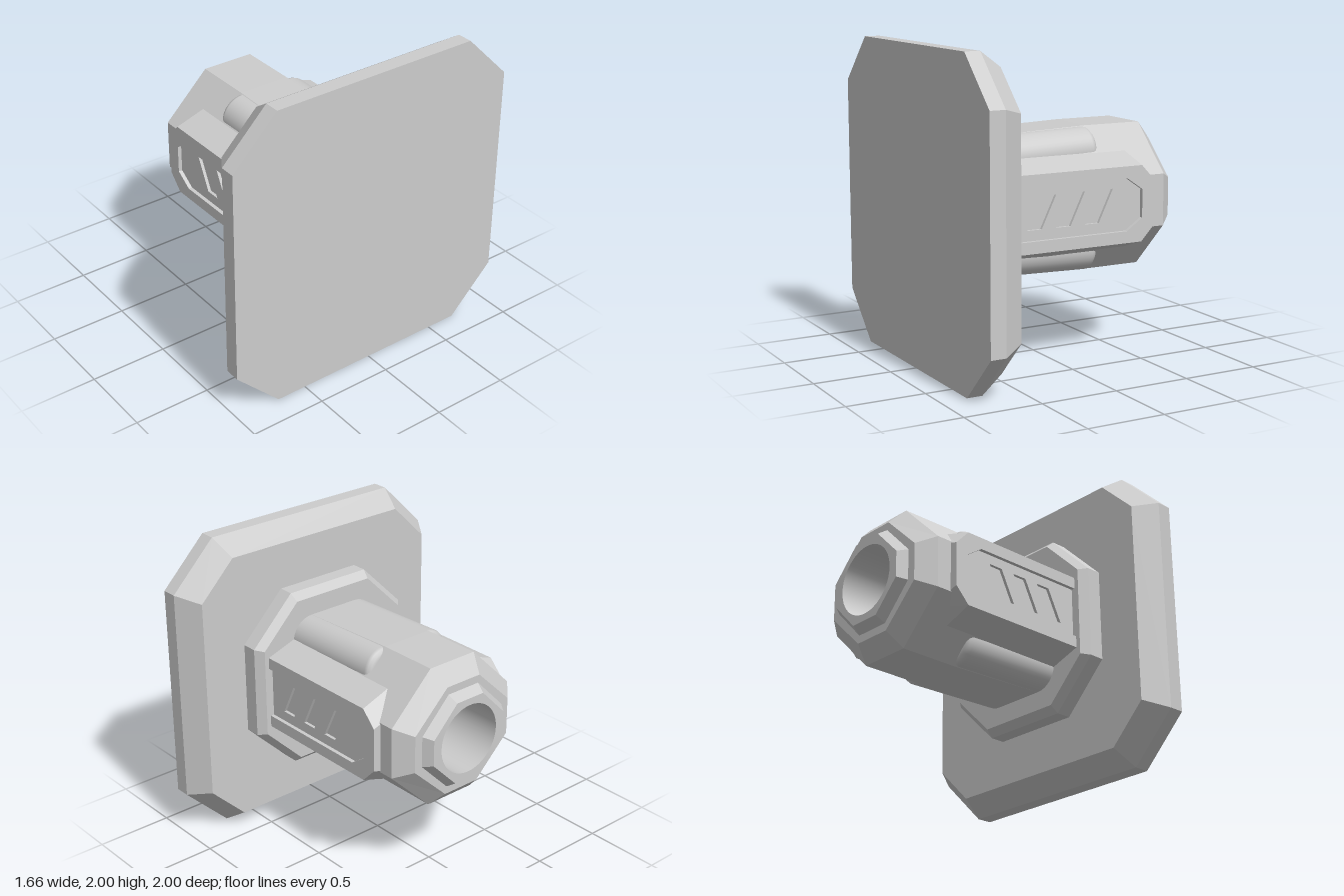
import * as THREE from 'three';

const grey = new THREE.MeshStandardMaterial({ color: 0xcccccc });
grey.name = 'plain grey';

function add(parent, name, geometry) {
  const mesh = new THREE.Mesh(geometry, grey);
  mesh.name = name;
  parent.add(mesh);
  return mesh;
}

// Flat-faced skin through a list of equal-length loops, optionally capped
function loft(loops, capStart = false, capEnd = false) {
  const pos = [];
  const tri = (a, b, c) => pos.push(...a, ...b, ...c);
  const n = loops[0].length;
  for (let k = 0; k < loops.length - 1; k++) {
    const a = loops[k], b = loops[k + 1];
    for (let i = 0; i < n; i++) {
      const j = (i + 1) % n;
      tri(a[i], a[j], b[j]);
      tri(a[i], b[j], b[i]);
    }
  }
  const first = loops[0], last = loops[loops.length - 1];
  for (let i = 1; i < n - 1; i++) {
    if (capStart) tri(first[0], first[i + 1], first[i]);
    if (capEnd) tri(last[0], last[i], last[i + 1]);
  }
  const g = new THREE.BufferGeometry();
  g.setAttribute('position', new THREE.Float32BufferAttribute(pos, 3));
  g.computeVertexNormals();
  return g;
}

// Octagonal cross-section: half height, flat in y, half depth, flat in z
function octagon(x, hy, cy, hz = hy, cz = cy) {
  return [[hy, -cz], [hy, cz], [cy, hz], [-cy, hz], [-hy, cz], [-hy, -cz], [-cy, -hz], [cy, -hz]]
    .map(([y, z]) => [x, y, z]);
}

const toVectors = (loop) => loop.map(([x, y]) => new THREE.Vector2(x, y));
const atZ = (loop, z) => loop.map(([x, y]) => [x, y, z]);

function flatFace(loop, holes, z) {
  const shape = new THREE.Shape(toVectors(loop));
  for (const h of holes) shape.holes.push(new THREE.Path(toVectors(h)));
  return new THREE.ShapeGeometry(shape).translate(0, 0, z);
}

// Counter-clockwise panel outline with a pointed left end
function panelLoop(x0, y0, x1, y1, xEnd) {
  return [[x0, y0], [x0, -y0], [x1, -y1], [xEnd, -y1], [xEnd, y1], [x1, y1]];
}

// Raised side panel with a recessed field and three slanted slots
function sidePanel(name, slant) {
  const panel = new THREE.Group();
  panel.name = name;
  const top = 0.525, floor = 0.5, slotFloor = 0.48;
  const base = panelLoop(-0.57, 0.21, -0.47, 0.31, 0.45);
  const outer = panelLoop(-0.57, 0.14, -0.475, 0.24, 0.45);
  const inner = panelLoop(-0.48, 0.09, -0.37, 0.165, 0.44);
  const slots = [0, 1, 2].map((i) => {
    const x = -0.28 + i * 0.2;
    const loop = [[x, 0.105], [x + 0.1, -0.1], [x + 0.2, -0.1], [x + 0.1, 0.105]];
    return slant > 0 ? loop : loop.map(([u, v]) => [u, -v]).reverse();
  });
  add(panel, 'panelSides', loft([atZ(base, 0.32), atZ(outer, top)]));
  add(panel, 'panelRim', flatFace(outer, [inner], top));
  add(panel, 'recessWall', loft([atZ(inner, top), atZ(inner, floor)]));
  add(panel, 'recessFloor', flatFace(inner, slots, floor));
  for (const slot of slots) {
    add(panel, 'slot', loft([atZ(slot, floor), atZ(slot, slotFloor)]));
    add(panel, 'slotFloor', flatFace(slot, [], slotFloor));
  }
  return panel;
}

export function createModel() {
  const model = new THREE.Group();
  model.name = 'wallMountedBarrel';
  const core = new THREE.Group();
  core.name = 'core';
  core.position.y = 1;
  model.add(core);

  // Mounting plate and collar
  add(core, 'mountingPlate', loft([
    octagon(0.58, 0.9, 0.66), octagon(0.73, 1, 0.7), octagon(0.83, 1, 0.7),
  ], true, true));
  add(core, 'collar', loft([
    octagon(0.43, 0.555, 0.29), octagon(0.48, 0.6, 0.3), octagon(0.59, 0.6, 0.3),
  ], true, true));

  // Eight-sided body with stepped nose
  const nose = octagon(-0.83, 0.27, 0.085, 0.285, 0.105);
  add(core, 'body', loft([
    nose,
    octagon(-0.77, 0.31, 0.1, 0.325, 0.12),
    octagon(-0.77, 0.36, 0.12, 0.38, 0.13),
    octagon(-0.67, 0.46, 0.165, 0.475, 0.175),
    octagon(-0.27, 0.46, 0.165, 0.475, 0.175),
    octagon(0.45, 0.435, 0.165, 0.475, 0.175),
  ]));

  // Nose ring and round bore
  const bore = 0.225;
  const ring = new THREE.Shape(nose.map(([, y, z]) => new THREE.Vector2(z, y)));
  ring.holes.push(new THREE.Path().absarc(0, 0, bore, 0, Math.PI * 2, true));
  add(core, 'noseRing', new THREE.ShapeGeometry(ring, 24).rotateY(-Math.PI / 2).translate(-0.83, 0, 0));
  add(core, 'boreWall', new THREE.LatheGeometry(
    [new THREE.Vector2(bore, 0.83), new THREE.Vector2(bore, 0.4)], 48).rotateZ(Math.PI / 2));
  add(core, 'boreFloor', new THREE.CircleGeometry(bore, 48).rotateY(-Math.PI / 2).translate(-0.4, 0, 0));

  // Rounded corner rods, tilted slightly inward towards the collar
  const profile = [[0.145, -0.45], [0.145, 0.25], [0.138, 0.27], [0.122, 0.284], [0.1, 0.29], [0, 0.29]];
  const rod = new THREE.LatheGeometry(toVectors(profile), 40);
  for (const sy of [1, -1]) {
    for (const sz of [1, -1]) {
      const mesh = add(core, 'cornerRod', rod);
      mesh.position.set(0, sy * 0.303, sz * 0.18);
      mesh.rotation.z = Math.PI / 2 - sy * 0.03;
    }
  }

  // Matching panels on both sides
  core.add(sidePanel('frontPanel', 1));
  const back = sidePanel('backPanel', -1);
  back.rotation.x = Math.PI;
  core.add(back);

  return model;
}
